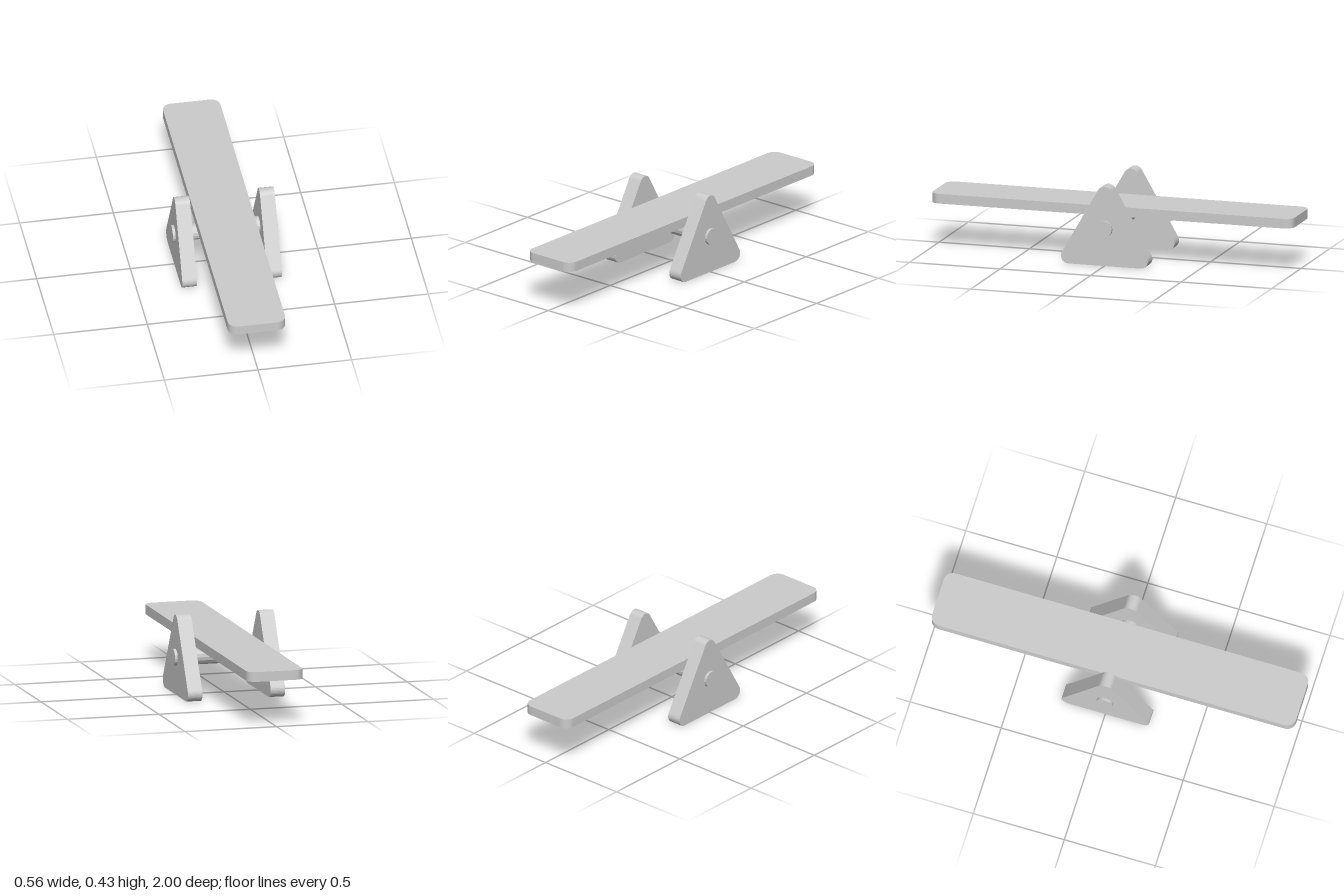
import * as THREE from 'three';

const grey = () => new THREE.MeshStandardMaterial({ color: 0xcccccc, flatShading: true });

// Convex outline with rounded corners: arcs of radius r about counter-clockwise centres
function roundedOutline(centres, r) {
  const n = centres.length;
  const normalAngle = (a, b) => Math.atan2(b[1] - a[1], b[0] - a[0]) - Math.PI / 2;
  const shape = new THREE.Shape();
  centres.forEach((c, i) => {
    const start = normalAngle(centres[(i + n - 1) % n], c);
    const end = normalAngle(c, centres[(i + 1) % n]);
    shape.absarc(c[0], c[1], r, start, end, false);
  });
  shape.closePath();
  return shape;
}

// Slab of the given thickness, centred on the extrusion axis
function slab(shape, depth, curveSegments) {
  return new THREE.ExtrudeGeometry(shape, { depth, curveSegments, bevelEnabled: false })
    .translate(0, 0, -depth / 2);
}

function addPart(group, name, geometry, x, y) {
  const mesh = new THREE.Mesh(geometry, grey());
  mesh.name = name;
  mesh.position.set(x, y, 0);
  group.add(mesh);
}

export function createModel() {
  const seesaw = new THREE.Group();
  seesaw.name = 'seesaw';

  // Long plank with rounded corners, resting on the axle
  const px = 0.103, pz = 0.95;
  const plank = roundedOutline([[-px, -pz], [px, -pz], [px, pz], [-px, pz]], 0.05);
  addPart(seesaw, 'plank', slab(plank, 0.052, 4).rotateX(Math.PI / 2), 0, 0.271);

  // Axle through both supports
  const axle = new THREE.CylinderGeometry(0.045, 0.045, 0.56, 16).rotateZ(Math.PI / 2);
  addPart(seesaw, 'axle', axle, 0, 0.2);

  // Rounded triangular supports, one on each side
  const triangle = roundedOutline([[-0.2, 0.04], [0.2, 0.04], [0, 0.387]], 0.04);
  for (const [name, side] of [['leftSupport', 1], ['rightSupport', -1]]) {
    addPart(seesaw, name, slab(triangle, 0.079, 5).rotateY(Math.PI / 2), side * 0.226, 0);
  }

  return seesaw;
}
